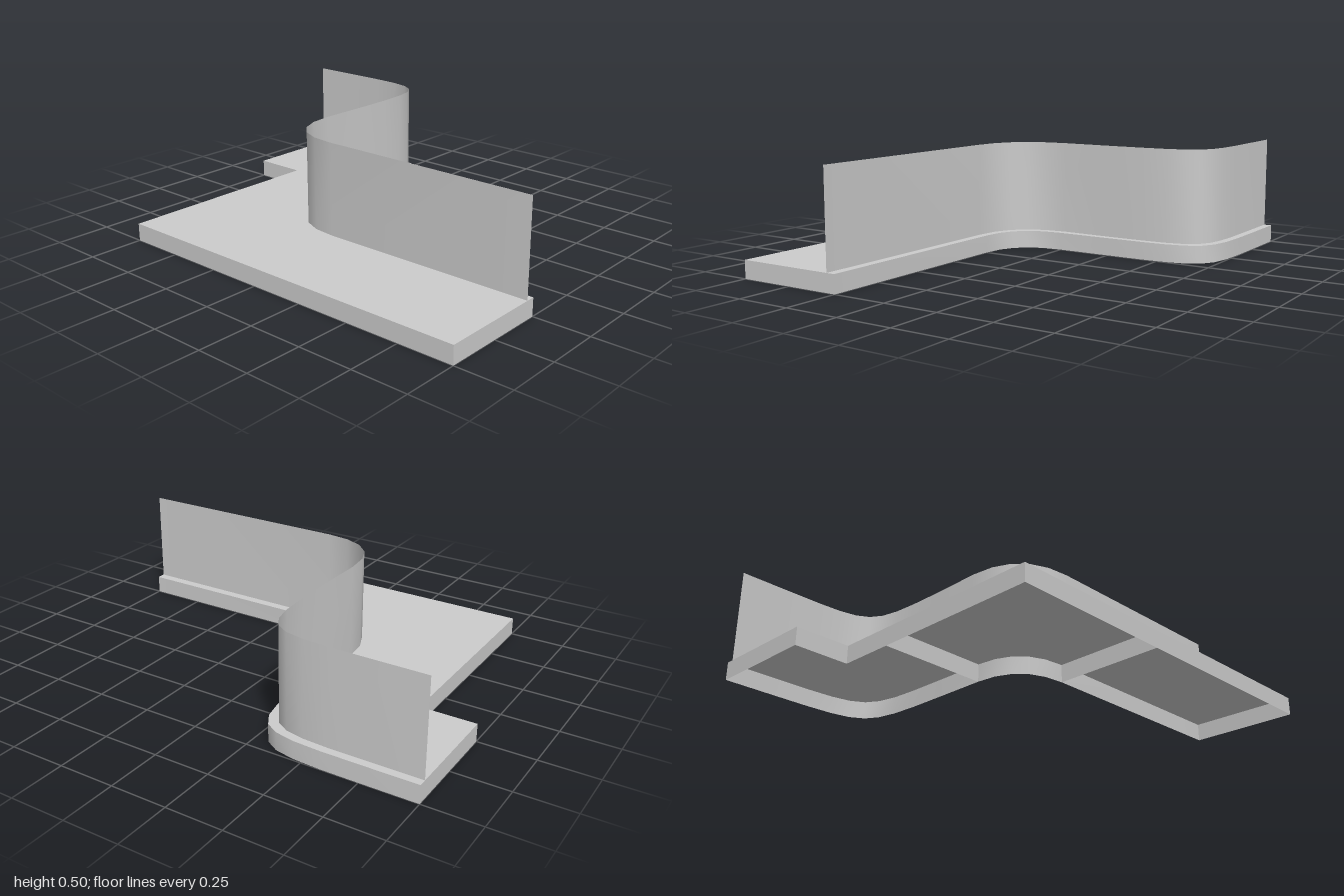
import * as THREE from 'three';
import { toCreasedNormals } from 'three/addons/utils/BufferGeometryUtils.js';

const BASE = 0.08, TOP = 0.5;
const v = (x, z) => new THREE.Vector2(x, z);

// Edge line in plan (x, z): straight, wide outer bend, tighter inner bend, straight
function edgeLine(dx, dz, dzFront, dxInner) {
  const xo = -0.25 - dx, zo = -0.75 + dz;
  const xi = -0.25 - dxInner, zi = 0.25 + dzFront;
  const outer = new THREE.CubicBezierCurve(v(-0.75, zo), v(xo, zo), v(xo, zo), v(xo, -0.25));
  const inner = new THREE.QuadraticBezierCurve(v(xi, 0), v(xi, zi), v(0, zi));
  return [v(-1, zo), ...outer.getPoints(8), ...inner.getPoints(5), v(1, zi)];
}

// Upright strip following a plan line
function ribbon(points, y0, y1) {
  const pos = [];
  for (let i = 0; i < points.length - 1; i++) {
    const a = points[i], b = points[i + 1];
    pos.push(a.x, y0, a.y, b.x, y1, b.y, b.x, y0, b.y);
    pos.push(a.x, y0, a.y, a.x, y1, a.y, b.x, y1, b.y);
  }
  const geo = new THREE.BufferGeometry();
  geo.setAttribute('position', new THREE.Float32BufferAttribute(pos, 3));
  return toCreasedNormals(geo, 0.7);
}

export function createModel() {
  const group = new THREE.Group();
  const material = new THREE.MeshStandardMaterial({ color: 0xcccccc, side: THREE.DoubleSide });
  const add = (name, geometry) => {
    const mesh = new THREE.Mesh(geometry, material);
    mesh.name = name;
    group.add(mesh);
  };

  // Base plate: top face and skirt, open underneath
  const outline = [...edgeLine(0, 0, 0, 0), v(1, 0.75), v(-0.75, 0.75), v(-0.75, -0.25), v(-1, -0.25)];
  const top = new THREE.ShapeGeometry(new THREE.Shape(outline.map(p => v(p.x, -p.y))));
  top.rotateX(-Math.PI / 2).translate(0, BASE, 0);
  add('baseTop', top);
  add('baseSkirt', ribbon([...outline, outline[0]], 0, BASE));

  // Dividers between the three base sections
  add('straightDivider', ribbon([v(0, 0.25), v(0, 0.75)], 0, BASE));
  add('bendDivider', ribbon([v(-0.75, 0), v(-0.25, 0)], 0, BASE));

  // Thin curved wall set just inside the edge
  add('wall', ribbon(edgeLine(0.035, 0.035, 0.04, 0.04), BASE, TOP));
  return group;
}
